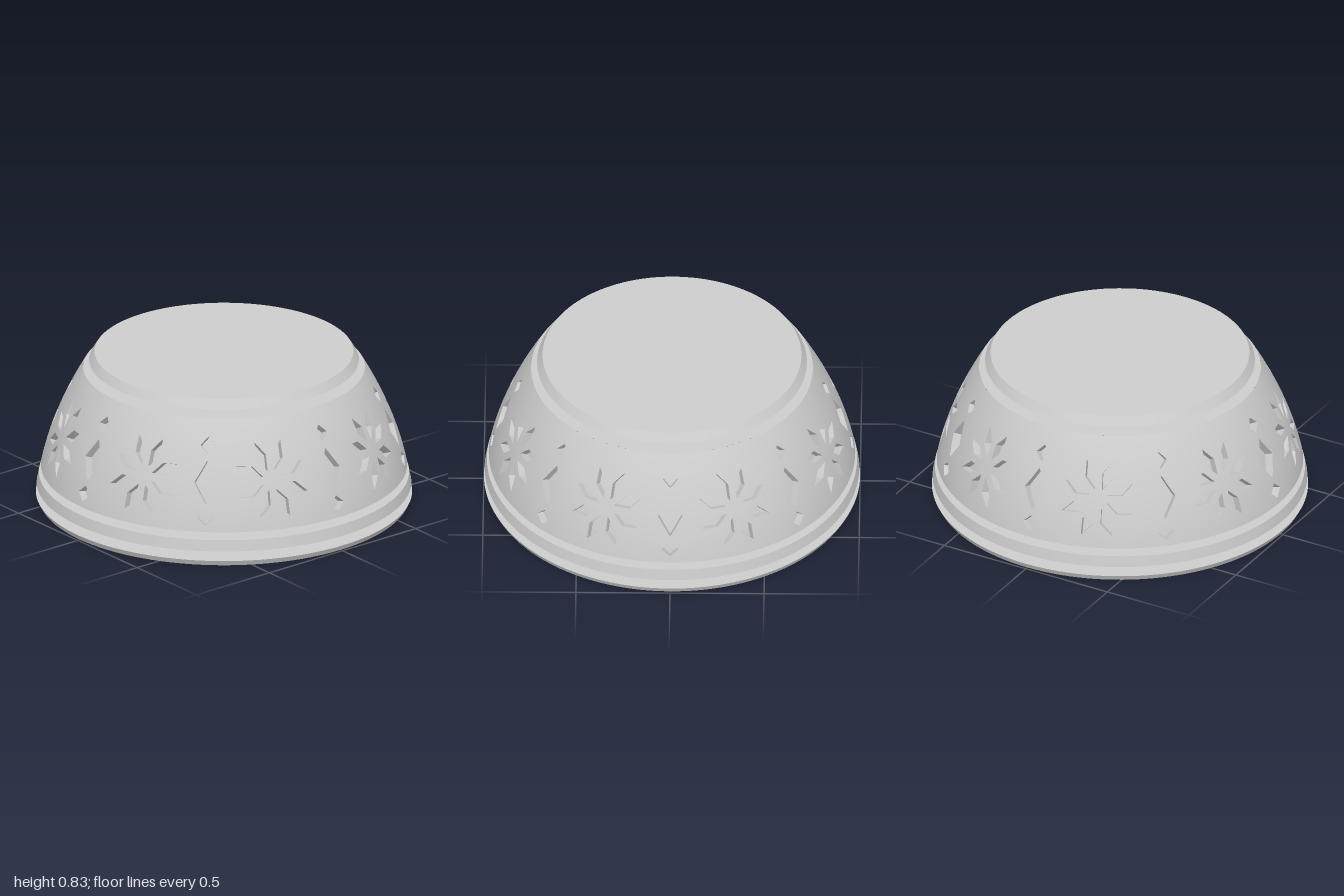
import * as THREE from 'three';
import { toCreasedNormals } from 'three/addons/utils/BufferGeometryUtils.js';

const grey = new THREE.MeshStandardMaterial({ color: 0xcccccc });
grey.name = 'plain grey';

const BOTTOM = 0.184, TOP = 0.743; // heights of the carved wall
const ARC = 0.895;                 // radius used to measure along the wall
const DEPTH = 0.045;               // depth of the carving
const MAX_EDGE = 0.05;

const wallRadius = (y) => { const t = y - BOTTOM; return 0.974 - 0.21 * t - 0.345 * t * t; };

// outward normal of the wall at arc position u, height v
function wallNormal(u, v) {
  const a = u / ARC, slope = 0.21 + 0.69 * (v - BOTTOM);
  return new THREE.Vector3(Math.sin(a), slope, Math.cos(a)).normalize();
}

// wraps (arc, height, depth) onto the wall
function wrap(p) {
  const a = p.x / ARC, r = wallRadius(p.y);
  return new THREE.Vector3(r * Math.sin(a), p.y, r * Math.cos(a))
    .addScaledVector(wallNormal(p.x, p.y), -p.z);
}

// halves the longest edge until the triangle is small enough to bend
function split(tri, out) {
  const [a, b, c] = tri;
  const ab = a.distanceTo(b), bc = b.distanceTo(c), ca = c.distanceTo(a);
  const longest = Math.max(ab, bc, ca);
  if (longest < MAX_EDGE) { out.push(tri); return; }
  const [p, q, r] = longest === ab ? [a, b, c] : longest === bc ? [b, c, a] : [c, a, b];
  const m = p.clone().add(q).multiplyScalar(0.5);
  split([p, m, r], out);
  split([m, q, r], out);
}

function flatTriangles(shape, depth) {
  const geo = new THREE.ShapeGeometry(shape), pos = geo.attributes.position, idx = geo.index, tris = [];
  const point = (i) => new THREE.Vector3(pos.getX(idx.getX(i)), pos.getY(idx.getX(i)), depth);
  for (let i = 0; i < idx.count; i += 3) tris.push([point(i), point(i + 1), point(i + 2)]);
  return tris;
}

function wrapGeometry(tris, smooth) {
  const small = [], positions = [], normals = [];
  tris.forEach((t) => split(t, small));
  for (const tri of small) for (const p of tri) {
    positions.push(...wrap(p).toArray());
    normals.push(...wallNormal(p.x, p.y).toArray());
  }
  const geo = new THREE.BufferGeometry();
  geo.setAttribute('position', new THREE.Float32BufferAttribute(positions, 3));
  if (smooth) geo.setAttribute('normal', new THREE.Float32BufferAttribute(normals, 3));
  else geo.computeVertexNormals();
  return geo;
}

const diamond = (y, w, h) => [[0, y - h], [w, y], [0, y + h], [-w, y]].map((p) => new THREE.Vector2(...p));

// eight kite-shaped petals around a centre
function flower(cx, cy) {
  return Array.from({ length: 8 }, (_, k) => {
    const angle = (k + 0.5) * Math.PI / 4;
    return [[0.05, 0], [0.125, -0.031], [0.205, 0], [0.125, 0.031]].map(([x, y]) =>
      new THREE.Vector2(x, y).rotateAround(new THREE.Vector2(), angle).add(new THREE.Vector2(cx, cy)));
  });
}

// solid of revolution with crisp edges
function turned(name, profile) {
  const geo = new THREE.LatheGeometry(profile.map(([r, y]) => new THREE.Vector2(r, y)), 128);
  const mesh = new THREE.Mesh(toCreasedNormals(geo, 0.3), grey);
  mesh.name = name;
  return mesh;
}

function carvedWall() {
  const outlines = [
    diamond(0.436, 0.065, 0.108), diamond(0.618, 0.043, 0.041), diamond(0.258, 0.043, 0.041),
    ...flower(ARC * Math.PI / 8, 0.438),
  ];

  // one eighth of the wall, cut between diamond and flower
  const u0 = -ARC * Math.PI / 24, u1 = u0 + ARC * Math.PI / 4;
  const panel = new THREE.Shape([[u0, BOTTOM], [u1, BOTTOM], [u1, TOP], [u0, TOP]].map((p) => new THREE.Vector2(...p)));
  panel.holes = outlines.map((o) => new THREE.Path(o));

  // floors and sides of the carved recesses
  const floors = [], sides = [];
  for (const o of outlines) {
    floors.push(...flatTriangles(new THREE.Shape(o), DEPTH));
    o.forEach((a, i) => {
      const b = o[(i + 1) % o.length];
      const [a0, b0, bD, aD] = [[a, 0], [b, 0], [b, DEPTH], [a, DEPTH]].map(([p, d]) => new THREE.Vector3(p.x, p.y, d));
      sides.push([a0, b0, bD], [a0, bD, aD]);
    });
  }

  const parts = [
    ['wallPanel', wrapGeometry(flatTriangles(panel, 0), true)],
    ['recessFloors', wrapGeometry(floors, true)],
    ['recessSides', wrapGeometry(sides, false)],
  ];
  const wall = new THREE.Group();
  wall.name = 'carvedWall';
  for (let k = 0; k < 8; k++) for (const [name, geo] of parts) {
    const mesh = new THREE.Mesh(geo, grey);
    mesh.name = name;
    mesh.rotation.y = k * Math.PI / 4;
    wall.add(mesh);
  }
  return wall;
}

export function createModel() {
  const model = new THREE.Group();
  model.name = 'bowl';
  model.add(
    // separate rim rings, the lower one bevelled inside
    turned('rimRing', [[0.86, 0], [0.985, 0], [1, 0.03], [0.815, 0.03], [0.86, 0]]),
    turned('middleRing', [[0.82, 0.083], [0.996, 0.083], [0.984, 0.143], [0.82, 0.143], [0.82, 0.083]]),
    // main body: hollowed underside, carved wall and flat top
    turned('bodyUnderside', [[0, 0.31], [0.765, 0.31], [0.765, 0.245], [0.825, BOTTOM], [wallRadius(BOTTOM), BOTTOM]]),
    carvedWall(),
    turned('bodyTop', [[wallRadius(TOP), TOP], [0, TOP]]),
    // base disc
    turned('baseDisc', [[0, 0.784], [0.717, 0.784], [0.688, 0.832], [0, 0.832]]),
  );
  return model;
}
